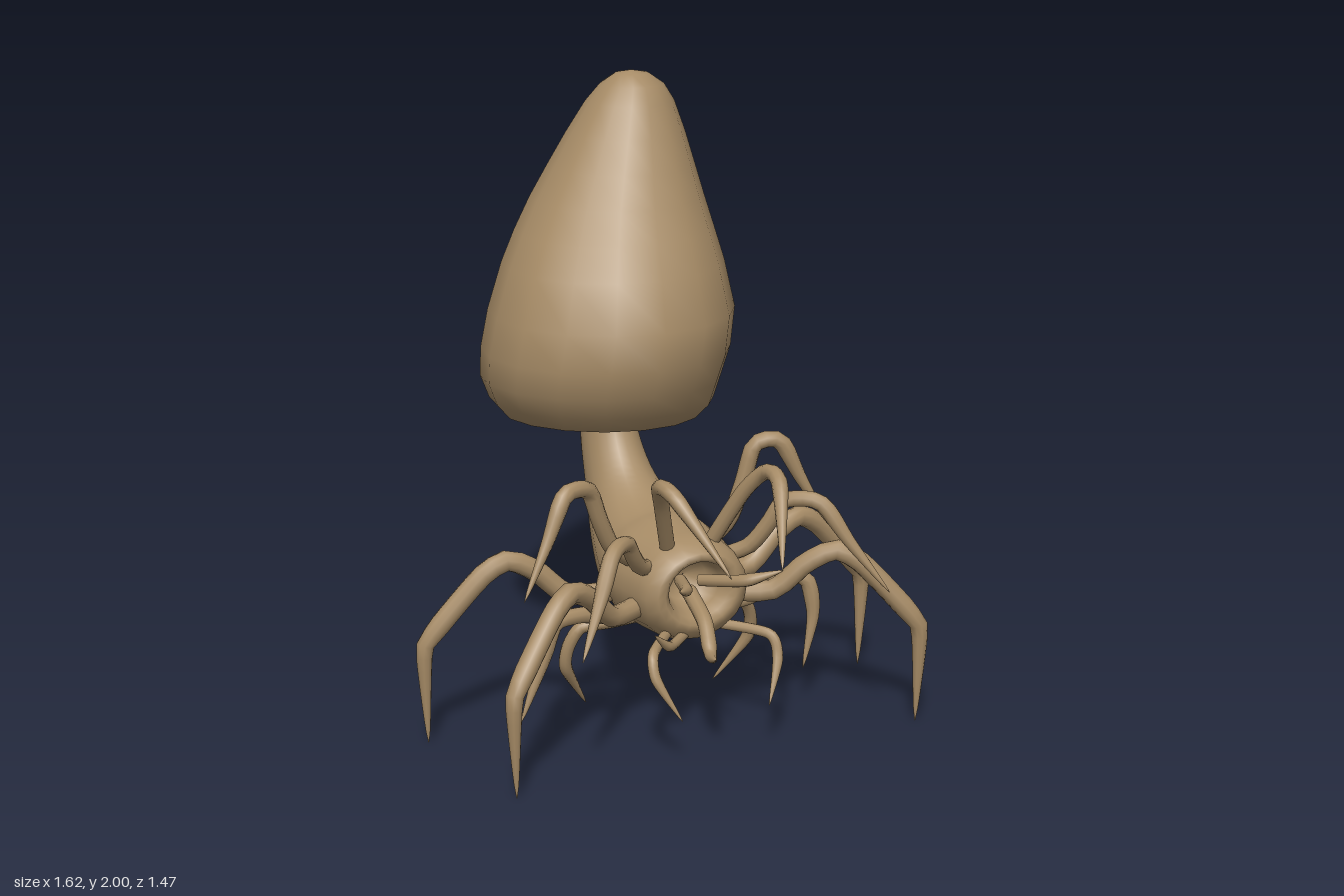
import * as THREE from 'three';

const V = (x, y, z) => new THREE.Vector3(x, y, z);

// Smooth skin over closed rings of equal point count (counterclockwise about the direction of travel)
function loft(rings) {
  const n = rings[0].length, pos = [], idx = [];
  rings.forEach(r => r.forEach(p => pos.push(p.x, p.y, p.z)));
  for (let i = 0; i < rings.length - 1; i++) {
    for (let j = 0; j < n; j++) {
      const a = i * n + j, b = i * n + (j + 1) % n;
      idx.push(a, b, a + n, b, b + n, a + n);
    }
  }
  const g = new THREE.BufferGeometry();
  g.setAttribute('position', new THREE.Float32BufferAttribute(pos, 3));
  g.setIndex(idx);
  g.computeVertexNormals();
  return g;
}

// Ellipse of n points about c, with axes N and B
function ring(c, N, B, rn, rb, n) {
  return Array.from({ length: n }, (_, j) => {
    const a = j / n * Math.PI * 2;
    return c.clone().addScaledVector(N, rn * Math.cos(a)).addScaledVector(B, rb * Math.sin(a));
  });
}

// Limb of even thickness that narrows to a point
function limb(points, r) {
  const curve = new THREE.CatmullRomCurve3(points, false, 'catmullrom', 0.35);
  const n = 28, f = curve.computeFrenetFrames(n), rings = [];
  for (let i = 0; i <= n; i++) {
    const u = i / n, t = Math.min(1, (1 - u) / 0.35);
    const rad = r * Math.max(0.04, Math.sqrt(t) * (0.65 + 0.35 * t));
    rings.push(ring(curve.getPointAt(u), f.normals[i], f.binormals[i], rad, rad, 10));
  }
  return loft(rings);
}

// Arched path above a straight line on the ground; k is where along it the arch peaks
function arch([x0, z0], [x1, z1], [root, peak, tip], k) {
  const at = (f, y) => V(x0 + (x1 - x0) * f, y, z0 + (z1 - z0) * f);
  const up = [[0, 0], [0.4, 0.25], [0.6, 0.6], [0.75, 0.94], [1, 1]];
  const down = [[0.2, 0.93], [0.5, 0.55], [1, 0]];
  return [
    ...up.map(([f, h]) => at(k * f, root + (peak - root) * h)),
    ...down.map(([f, h]) => at(k + (1 - k) * f, tip + (peak - tip) * h)),
  ];
}

// Leaning hollow cap, from the cavity over the rim to the top
function capGeometry() {
  // y, centre x, centre z, radius
  const rows = [
    [1.06, 0, -0.345, 0.08], [1.00, 0, -0.345, 0.15], [0.94, 0, -0.35, 0.18], [0.90, 0.01, -0.36, 0.205],
    [0.88, 0.01, -0.365, 0.26], [0.89, 0, -0.37, 0.325], [0.94, 0, -0.365, 0.37], [1.02, -0.01, -0.348, 0.395],
    [1.12, 0, -0.33, 0.408], [1.25, 0.016, -0.32, 0.402], [1.4, 0.035, -0.347, 0.362], [1.5, 0.055, -0.378, 0.325],
    [1.6, 0.077, -0.405, 0.284], [1.7, 0.1, -0.422, 0.24], [1.8, 0.122, -0.435, 0.195], [1.9, 0.14, -0.44, 0.145],
    [1.955, 0.145, -0.435, 0.105], [1.99, 0.143, -0.43, 0.055], [2, 0.14, -0.43, 0.001],
  ];
  return loft(rows.map(([y, x, z, r]) => {
    const pts = ring(V(x, y, z), V(1, 0, 0), V(0, 0, -1), r, r, 16);
    // the rim hangs lower at the back and on the left
    const tilt = THREE.MathUtils.clamp((1.2 - y) / 0.25, 0, 1);
    pts.forEach(p => { p.y += tilt * (0.05 * (p.z - z) - 0.035 * (p.x - x)); });
    return pts;
  }));
}

// Curved stalk swelling into the body, then folding inward at the mouth
function bodyGeometry() {
  const X = V(1, 0, 0), rings = [];
  // radius, y, z along the path
  const path = new THREE.CatmullRomCurve3([
    V(0.1, 1.12, -0.36), V(0.116, 0.84, -0.312), V(0.13, 0.69, -0.23), V(0.152, 0.58, -0.118),
    V(0.17, 0.515, 0), V(0.181, 0.49, 0.11), V(0.17, 0.483, 0.29),
  ]);
  for (let i = 0; i <= 28; i++) {
    const p = path.getPoint(i / 28), d = path.getTangent(i / 28);
    const T = V(0, d.y, d.z).normalize(), r = p.x;
    rings.push(ring(V(0, p.y, p.z), X, T.cross(X), r * (0.1 + 5.8 * r), r, 20));
  }
  // mouth: z, radius
  const mouth = [[0.335, 0.153], [0.362, 0.128], [0.367, 0.108], [0.352, 0.092], [0.31, 0.08], [0.25, 0.065], [0.235, 0.001]];
  for (const [z, r] of mouth) {
    rings.push(ring(V(0, 0.512 - 0.18 * r, z), X, V(0, 1, 0), r * 1.15, r, 20));
  }
  return loft(rings);
}

export function createModel() {
  const group = new THREE.Group();
  const skin = new THREE.MeshStandardMaterial({ color: 0xa68b66 });
  skin.name = 'tanSkin';
  const add = (name, geometry) => {
    const mesh = new THREE.Mesh(geometry, skin);
    mesh.name = name;
    group.add(mesh);
  };
  const addPair = (name, points, r) => {
    add(name + 'Left', limb(points, r));
    add(name + 'Right', limb(points.map(p => V(-p.x, p.y, p.z)), r));
  };

  add('cap', capGeometry());
  add('body', bodyGeometry());

  // Long walking legs: shared outline of reach and height
  const stride = [[0, 0.44], [0.3, 0.44], [0.46, 0.53], [0.6, 0.575], [0.73, 0.53], [0.96, 0.365], [1.01, 0.3], [1, 0]];
  const walk = (x0, z0, x1, z1) => stride.map(([f, y]) => V(x0 + (x1 - x0) * f, y, z0 + (z1 - z0) * f));
  addPair('rearWalkingLeg', walk(0.12, 0.1, 0.776, 0.01), 0.034);
  addPair('frontWalkingLeg', walk(0.1, 0.22, 0.692, 0.52), 0.034);

  // Small curled legs and the arms over the mouth
  addPair('lowerRearLeg', [V(0.1, 0.36, 0.14), V(0.2, 0.35, 0.13), V(0.29, 0.335, 0.1), V(0.325, 0.27, 0.08),
    V(0.325, 0.19, 0.06), V(0.23, 0.035, 0)], 0.021);
  addPair('lowerFrontLeg', [V(0.08, 0.36, 0.3), V(0.2, 0.35, 0.44), V(0.21, 0.28, 0.48), V(0.15, 0.155, 0.54)], 0.017);
  addPair('browArm', [V(0.06, 0.58, 0.26), V(0.14, 0.8, 0.37), V(0.18, 0.88, 0.44), V(0.175, 0.87, 0.54),
    V(0.085, 0.665, 0.73)], 0.025);

  // Arched limbs that differ from side to side
  add('upperArmRight', limb(arch([-0.12, 0.18], [-0.6, 0.38], [0.55, 0.86, 0.56], 0.6), 0.027));
  add('upperArmLeft', limb(arch([0.1, 0.16], [0.49, 0.3], [0.56, 0.915, 0.62], 0.54), 0.027));
  add('middleArmRight', limb(arch([-0.1, 0.24], [-0.5, 0.58], [0.55, 0.7, 0.42], 0.52), 0.026));
  add('middleArmLeft', limb(arch([0.1, 0.22], [0.53, 0.61], [0.54, 0.77, 0.49], 0.55), 0.026));
  add('shortLegRight', limb(arch([-0.1, 0.15], [-0.56, 0.25], [0.38, 0.42, 0.12], 0.68), 0.026));
  add('shortLegLeft', limb([V(0.1, 0.36, 0.15), V(0.26, 0.37, 0.17), V(0.41, 0.43, 0.2), V(0.46, 0.41, 0.22),
    V(0.472, 0.3, 0.235), V(0.43, 0.13, 0.25)], 0.026));

  // Feelers around the mouth
  add('mouthFeelerRight', limb([V(-0.03, 0.51, 0.28), V(-0.08, 0.53, 0.42), V(-0.13, 0.55, 0.48)], 0.02));
  add('mouthFeelerLeft', limb([V(0.04, 0.5, 0.28), V(0.12, 0.53, 0.42), V(0.22, 0.57, 0.49)], 0.02));
  add('mouthTongue', limb([V(0, 0.47, 0.28), V(-0.02, 0.42, 0.43), V(-0.05, 0.35, 0.53), V(-0.08, 0.37, 0.62)], 0.025));
  add('chinFeeler', limb([V(-0.04, 0.35, 0.33), V(-0.14, 0.36, 0.43), V(-0.21, 0.42, 0.47)], 0.016));

  return group;
}
